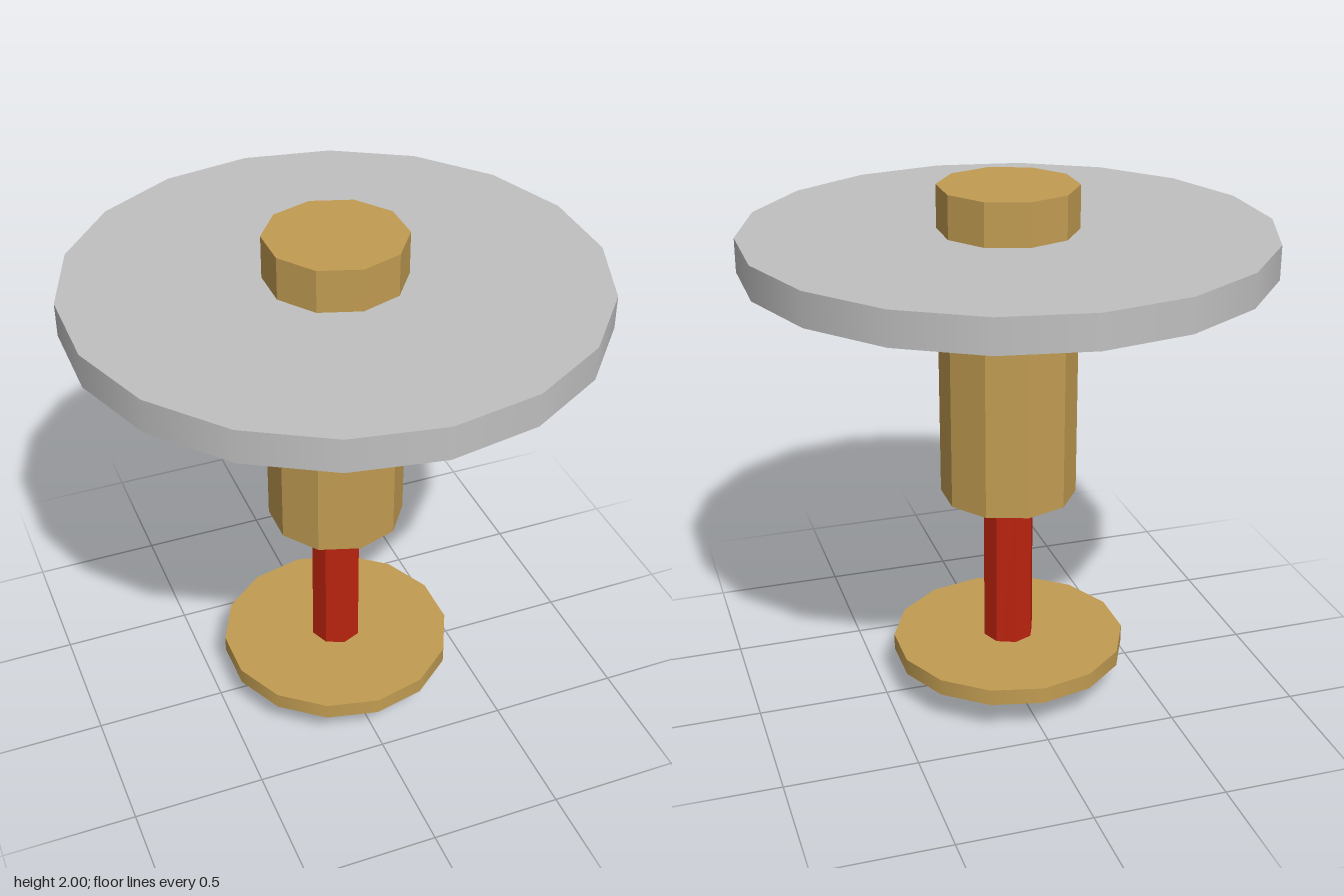
import * as THREE from 'three';

export function createModel() {
  const group = new THREE.Group();
  const material = (name, color, flatShading = false) =>
    new THREE.MeshStandardMaterial({ name, color, flatShading });
  const grey = material('grey', 0xc0c0c0);
  const brass = material('brass', 0xc19c52);
  const red = material('red', 0xbb230f);

  // Upright prism or disc between two heights, with a corner on +z
  function addCylinder(name, radius, bottom, top, sides, mat, faceted) {
    let geometry = new THREE.CylinderGeometry(radius, radius, top - bottom, sides);
    if (faceted) {
      geometry = geometry.toNonIndexed();
      geometry.computeVertexNormals();
    }
    const mesh = new THREE.Mesh(geometry, mat);
    mesh.name = name;
    mesh.position.y = (bottom + top) / 2;
    group.add(mesh);
  }

  // Faceted rod and body
  addCylinder('rod', 0.098, 0, 0.83, 8, red, true);
  addCylinder('body', 0.257, 0.81, 2, 10, brass, true);
  // Smooth-edged discs
  addCylinder('lowerDisc', 0.451, 0.132, 0.195, 14, brass, false);
  addCylinder('upperDisc', 0.967, 1.715, 1.84, 18, grey, false);

  return group;
}
